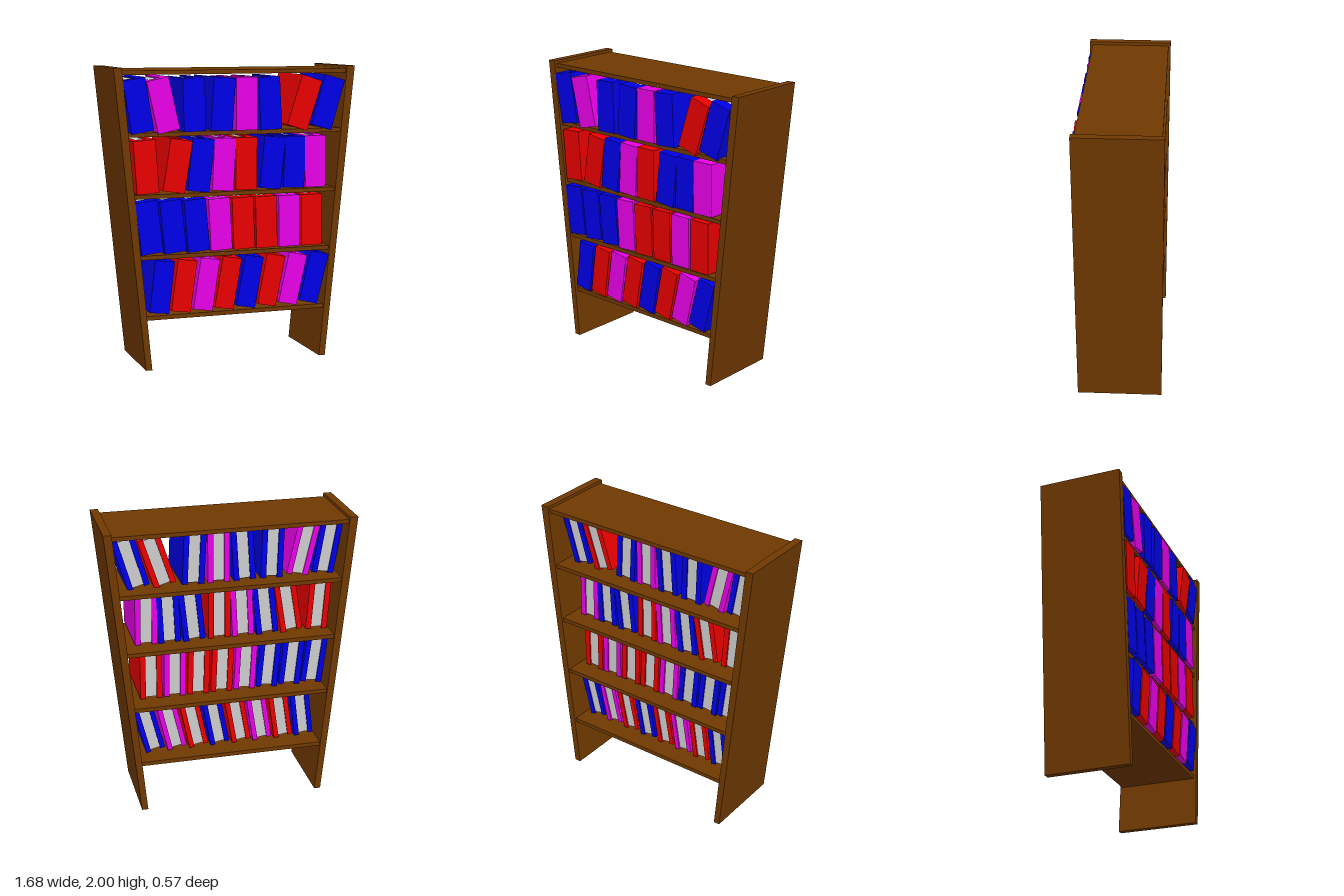
import * as THREE from 'three';

const paint = (color) => new THREE.MeshStandardMaterial({ color });
const wood = paint(0x6f3800);
const paper = paint(0xcccccc);
const covers = { b: paint(0x0000e6), r: paint(0xe60000), m: paint(0xe600e6) };

const DEPTH = 0.57;
const BOOK_FRONT = 0.285, BOOK_BACK = -0.158, BOOK_HEIGHT = 0.35;

// rows of books: centre height, book width, then [colour, centre x, lean]
const rows = [
  { y: 1.755, w: 0.15, books: [['b', -0.677, 0.165], ['m', -0.51, 0.22], ['b', -0.3, 0.03], ['b', -0.101, -0.065],
    ['m', 0.065, 0], ['b', 0.23, 0.05], ['r', 0.477, -0.31], ['b', 0.648, -0.28]] },
  { y: 1.357, w: 0.15, books: [['r', -0.629, 0.07], ['r', -0.415, -0.16], ['b', -0.254, -0.11], ['m', -0.095, -0.05],
    ['r', 0.062, 0], ['b', 0.249, -0.1], ['b', 0.408, -0.04], ['m', 0.558, 0.015]] },
  { y: 0.958, w: 0.15, books: [['b', -0.611, 0.12], ['b', -0.449, 0.1], ['b', -0.285, 0.085], ['m', -0.121, 0.055],
    ['r', 0.042, 0.04], ['r', 0.206, 0.03], ['m', 0.37, 0.015], ['r', 0.534, 0.005]] },
  { y: 0.556, w: 0.134, books: [['b', -0.527, -0.12], ['r', -0.374, -0.14], ['m', -0.218, -0.155], ['r', -0.066, -0.17],
    ['b', 0.09, -0.18], ['r', 0.244, -0.2], ['m', 0.4, -0.22], ['b', 0.556, -0.24]] },
];

// inner face of the splayed side panels at height y
const innerX = (y) => 0.6 + 0.0925 * y;

function sidePanel(side) {
  const pts = [[0.6, 0], [0.643, 0], [0.84, 2], [0.785, 2]].map(([x, y]) => new THREE.Vector2(side * x, y));
  const geo = new THREE.ExtrudeGeometry(new THREE.Shape(pts), { depth: DEPTH, bevelEnabled: false });
  geo.translate(0, 0, -DEPTH / 2);
  const mesh = new THREE.Mesh(geo, wood);
  mesh.name = side > 0 ? 'leftPanel' : 'rightPanel';
  return mesh;
}

function box(name, material, w, h, d, x, y, z) {
  const mesh = new THREE.Mesh(new THREE.BoxGeometry(w, h, d), material);
  mesh.position.set(x, y, z);
  mesh.name = name;
  return mesh;
}

// a book: U-shaped cover wrapped around a page block, thick spine to the front
function book(color, w) {
  const g = new THREE.Group();
  g.name = 'book';
  const hw = w / 2, t = w / 4, spine = 0.09;
  const outline = [[-hw, BOOK_FRONT], [-hw, BOOK_BACK], [-hw + t, BOOK_BACK], [-hw + t, BOOK_FRONT - spine],
    [hw - t, BOOK_FRONT - spine], [hw - t, BOOK_BACK], [hw, BOOK_BACK], [hw, BOOK_FRONT]];
  const shape = new THREE.Shape(outline.map(([x, z]) => new THREE.Vector2(x, -z)));
  const geo = new THREE.ExtrudeGeometry(shape, { depth: BOOK_HEIGHT, bevelEnabled: false });
  geo.rotateX(-Math.PI / 2).translate(0, -BOOK_HEIGHT / 2, 0);
  const cover = new THREE.Mesh(geo, covers[color]);
  cover.name = 'cover';
  const back = BOOK_BACK + 0.01, front = BOOK_FRONT - spine;
  g.add(cover, box('pages', paper, w - 2 * t, BOOK_HEIGHT - 0.02, front - back, 0, 0, (front + back) / 2));
  return g;
}

export function createModel() {
  const model = new THREE.Group();
  model.name = 'bookcase';
  model.add(sidePanel(1), sidePanel(-1));

  // top board and four shelves
  [1.967, 1.565, 1.159, 0.755, 0.348].forEach((y, i) => {
    model.add(box(i ? 'shelf' : 'topBoard', wood, 2 * innerX(y) + 0.02, 0.028, 0.535, 0, y, -0.0025));
  });

  rows.forEach(({ y, w, books }) => {
    const row = new THREE.Group();
    row.name = 'bookRow';
    for (const [color, x, lean] of books) {
      const b = book(color, w);
      b.position.set(x, y, 0);
      b.rotation.z = lean;
      row.add(b);
    }
    model.add(row);
  });
  return model;
}
